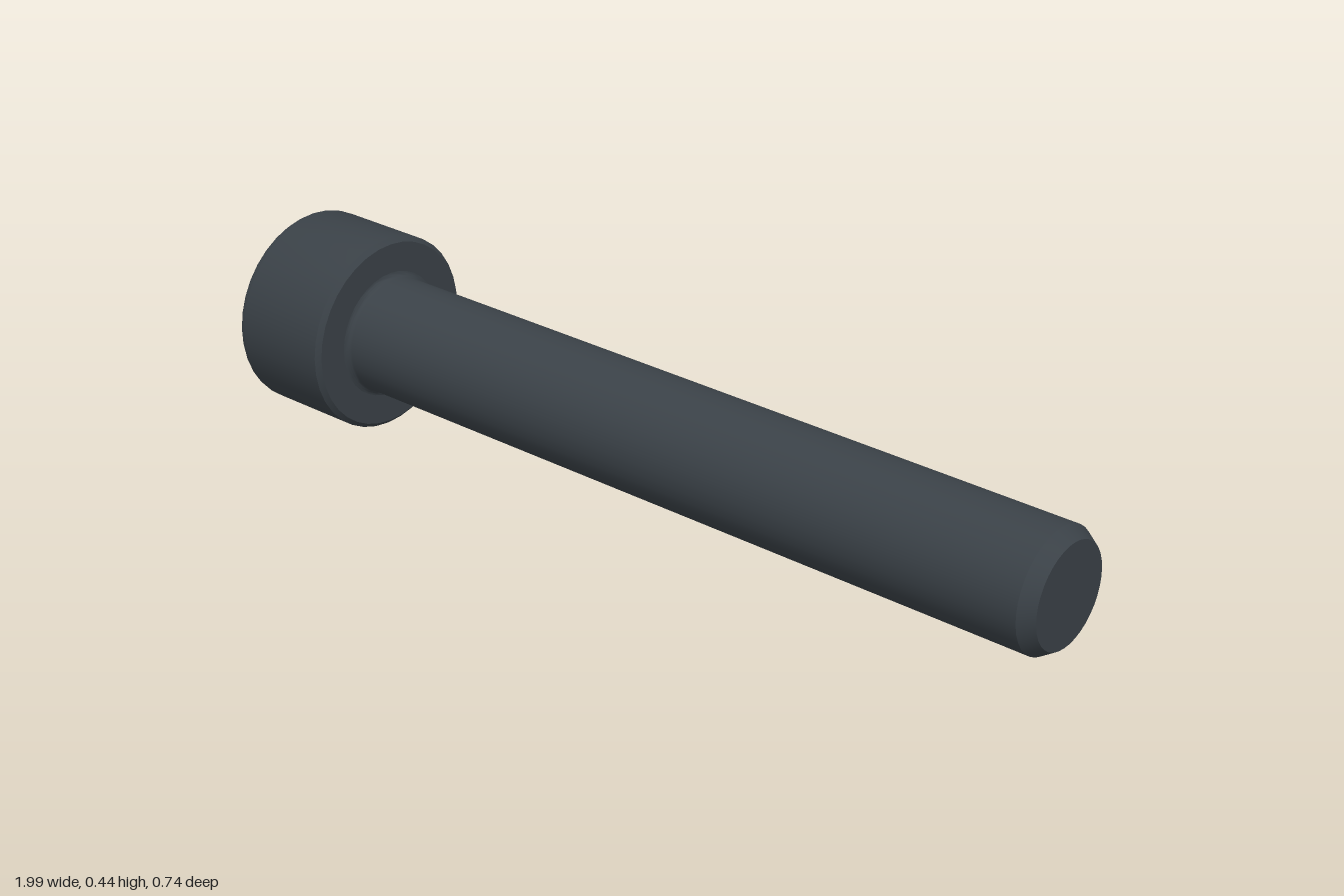
import * as THREE from 'three';
import { toCreasedNormals } from 'three/addons/utils/BufferGeometryUtils.js';

const SEGMENTS = 36;
const HEAD_R = 0.215, HEAD_LEN = 0.25, SHANK_R = 0.128, LENGTH = 1.975;
const SOCKET_R = 0.128, HEX_APOTHEM = 0.108, SOCKET_DEPTH = 0.14;

// Quarter-round profile points about a centre
function arc(cx, cy, r, from, to, steps = 4) {
  return Array.from({ length: steps + 1 }, (_, i) => {
    const a = from + (to - from) * i / steps;
    return [cx + r * Math.cos(a), cy + r * Math.sin(a)];
  });
}

function turned(profile) {
  return new THREE.LatheGeometry(profile.map(p => new THREE.Vector2(...p)), SEGMENTS);
}

// Hexagonal recess with a conical lead-in: the rings of a lathe squeezed onto a hexagon
function socketGeometry() {
  const rings = [[0, SOCKET_DEPTH], [1, SOCKET_DEPTH], [1, 0], [SOCKET_R, 0]];
  const geo = turned(rings);
  const pos = geo.attributes.position;
  for (let k = 0; k < pos.count; k++) {
    const j = k % rings.length;
    if (j === 0 || j === 3) continue;
    const phi = Math.floor(k / rings.length) / SEGMENTS * Math.PI * 2;
    const r = HEX_APOTHEM / Math.cos(phi % (Math.PI / 3) - Math.PI / 6);
    const y = j === 1 ? SOCKET_DEPTH : (SOCKET_R - r) * 0.5;
    pos.setXYZ(k, r * Math.sin(phi), y, r * Math.cos(phi));
  }
  return geo;
}

export function createModel() {
  const steel = new THREE.MeshStandardMaterial({ color: 0x3a4147 });
  steel.name = 'blackened steel';
  const bolt = new THREE.Group();
  bolt.name = 'socketHeadBolt';

  function add(name, geometry) {
    const mesh = new THREE.Mesh(toCreasedNormals(geometry, 0.45), steel);
    mesh.name = name;
    bolt.add(mesh);
  }

  // Head: rounded outer rim, small chamfer underneath
  const rim = 0.02;
  add('head', turned([
    [SOCKET_R, 0],
    ...arc(HEAD_R - rim, rim, rim, -Math.PI / 2, 0),
    [HEAD_R, HEAD_LEN - 0.01], [HEAD_R - 0.01, HEAD_LEN], [SHANK_R, HEAD_LEN],
  ]));
  add('hexSocket', socketGeometry());

  // Shank: fillet at the head, chamfered tip
  const fillet = 0.012;
  add('shank', turned([
    ...arc(SHANK_R + fillet, HEAD_LEN + fillet, fillet, -Math.PI / 2, -Math.PI),
    [SHANK_R, LENGTH - 0.03], [0.108, LENGTH], [0, LENGTH],
  ]));

  // Lay the bolt down so head and tip both rest on the ground
  const axis = new THREE.Vector3(1.93, -0.0955, 0.41).normalize();
  const up = new THREE.Vector3(0, 1, 0);
  up.addScaledVector(axis, -up.dot(axis)).normalize();
  const side = new THREE.Vector3().crossVectors(axis, up);
  bolt.quaternion.setFromRotationMatrix(new THREE.Matrix4().makeBasis(side, axis, up));
  bolt.position.set(-0.953, 0.2235, -0.16);

  const model = new THREE.Group();
  model.name = 'model';
  model.add(bolt);
  return model;
}
